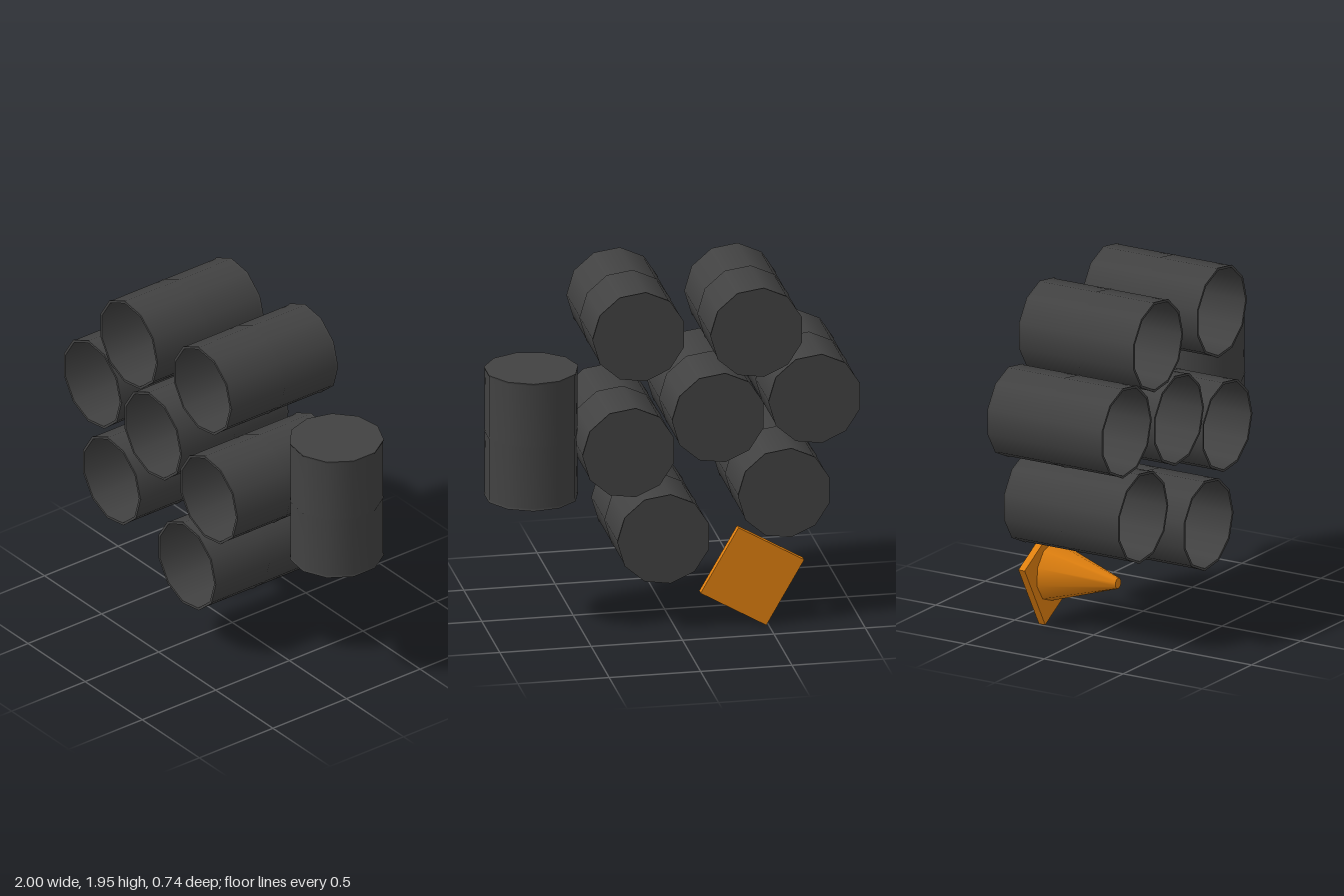
import * as THREE from 'three';

const SIDES = 11;
const R = 0.256;      // hoop radius
const H = 0.363;      // half length
const FLOOR = 0.24;   // height of the inner floor

function lathe(points, sides) {
  return new THREE.LatheGeometry(points.map(([r, y]) => new THREE.Vector2(r, y)), sides, Math.PI / 2);
}

// One drum along y: closed on top, open and hollow at the bottom
function createBarrel(material, name) {
  const barrel = new THREE.Group();
  barrel.name = name;
  const add = (part, points) => {
    const mesh = new THREE.Mesh(lathe(points, SIDES), material);
    mesh.name = part;
    barrel.add(mesh);
  };
  const b = R - 0.004;
  // Outer wall with slightly raised hoops at both ends and the middle
  add('barrelWall', [
    [R, -H], [R, -H + 0.006], [b, -H + 0.012], [b, -0.008], [R, 0],
    [b, 0.008], [b, H - 0.012], [R, H - 0.006], [R, H],
  ]);
  add('lid', [[R, H], [0, H]]);
  // Narrow rim, tapered inner wall and inner floor
  add('rim', [[R - 0.014, -H], [R, -H]]);
  add('innerWall', [[R - 0.034, FLOOR], [R - 0.014, -H]]);
  add('innerFloor', [[0, FLOOR], [R - 0.034, FLOOR]]);
  return barrel;
}

export function createModel() {
  const model = new THREE.Group();
  model.name = 'barrelsAndCone';
  const steel = new THREE.MeshStandardMaterial({ color: 0x424242 });
  steel.name = 'darkSteel';
  const orange = new THREE.MeshStandardMaterial({ color: 0xe0800f });
  orange.name = 'coneOrange';

  // Barrels lying down, open ends to the front
  const spots = [
    [-0.436, 1.677], [0.209, 1.697], [-0.754, 1.277], [-0.226, 1.205],
    [0.264, 1.039], [-0.587, 0.751], [0.073, 0.533],
  ];
  for (const [x, y] of spots) {
    const barrel = createBarrel(steel, 'lyingBarrel');
    barrel.rotation.x = -Math.PI / 2;
    barrel.position.set(x, y, 0.004);
    model.add(barrel);
  }

  // Upright barrel
  const upright = createBarrel(steel, 'uprightBarrel');
  upright.rotation.y = Math.PI;
  upright.position.set(0.753, 1.112, -0.122);
  model.add(upright);

  // Traffic cone pointing forward on a tilted square base
  const cone = new THREE.Group();
  cone.name = 'trafficCone';
  cone.position.set(-0.411, 0.286, -0.355);
  const base = new THREE.Mesh(new THREE.BoxGeometry(0.415, 0.415, 0.04), orange);
  base.name = 'coneBase';
  base.position.z = 0.02;
  base.rotation.z = Math.PI / 6;
  const body = new THREE.Mesh(new THREE.CylinderGeometry(0.03, 0.165, 0.415, 10), orange);
  body.name = 'coneBody';
  body.geometry.rotateX(Math.PI / 2);
  body.rotation.z = THREE.MathUtils.degToRad(-2);
  body.position.z = 0.04 + 0.415 / 2;
  cone.add(base, body);
  model.add(cone);

  return model;
}
